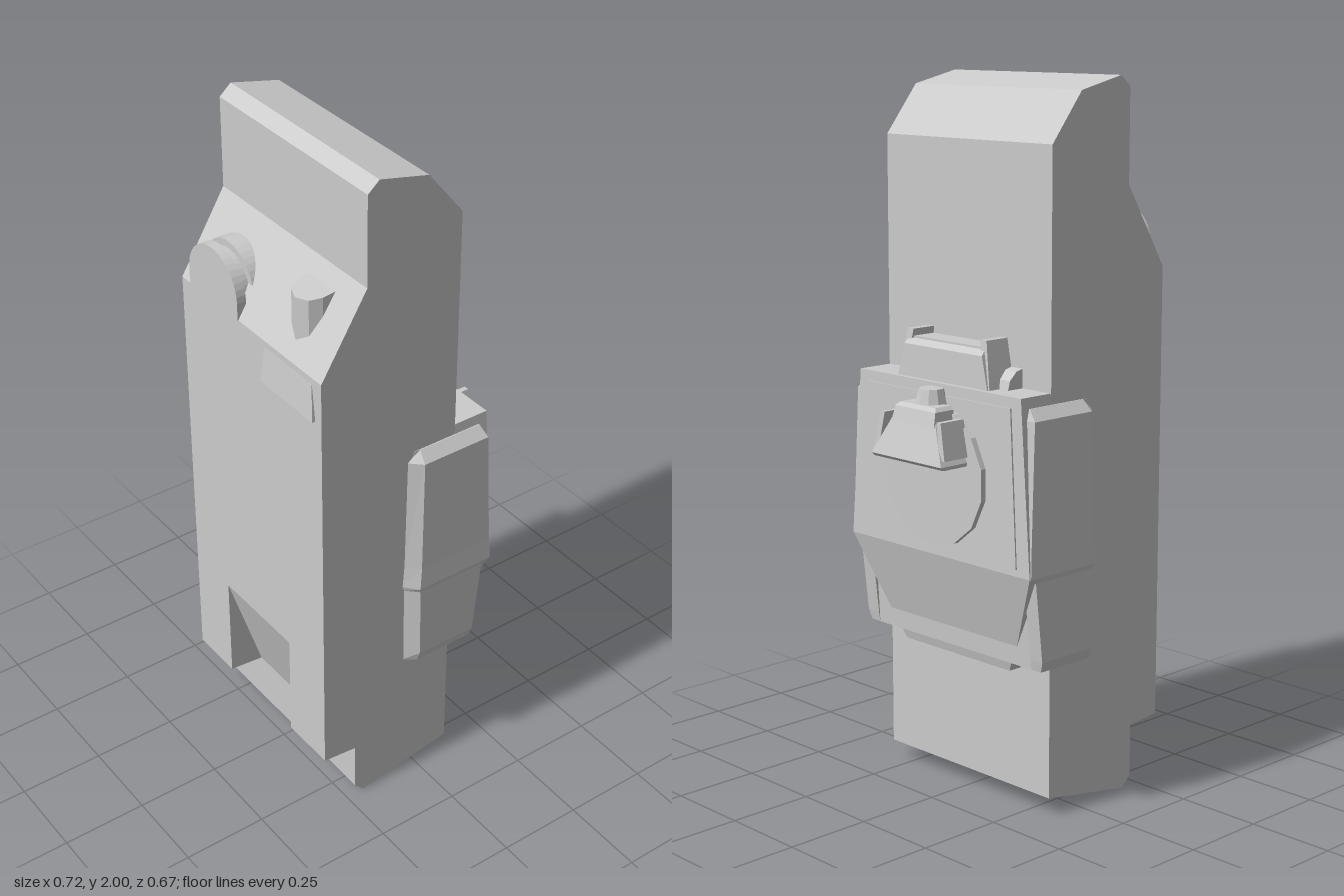
import * as THREE from 'three';

const material = new THREE.MeshStandardMaterial({ color: 0xcccccc, flatShading: true });

// Closed solid through convex rings of [x, y, z] points, oriented outward.
function loft(rings) {
  const tris = [];
  const n = rings[0].length;
  const last = rings[rings.length - 1];
  for (let r = 0; r < rings.length - 1; r++) {
    const a = rings[r], b = rings[r + 1];
    for (let i = 0; i < n; i++) {
      const j = (i + 1) % n;
      tris.push([a[i], a[j], b[j]], [a[i], b[j], b[i]]);
    }
  }
  for (let i = 1; i < n - 1; i++) {
    tris.push([rings[0][0], rings[0][i + 1], rings[0][i]], [last[0], last[i], last[i + 1]]);
  }
  // a negative signed volume means the faces point inward
  const v = (p) => new THREE.Vector3(...p);
  const volume = tris.reduce((s, [a, b, c]) => s + v(a).dot(v(b).cross(v(c))), 0);
  if (volume < 0) tris.forEach((t) => t.reverse());
  const geo = new THREE.BufferGeometry();
  geo.setAttribute('position', new THREE.Float32BufferAttribute(tris.flat(2), 3));
  geo.computeVertexNormals();
  return geo;
}

// Rectangle ring at height y
const rect = (y, hw, z0, z1, cx = 0) =>
  [[cx + hw, y, z0], [cx + hw, y, z1], [cx - hw, y, z1], [cx - hw, y, z0]];

// Side profile of [z, y] points extruded from x0 to x1
function slab(profile, x0, x1) {
  const shape = new THREE.Shape(profile.map((p) => new THREE.Vector2(...p)));
  const geo = new THREE.ExtrudeGeometry(shape, { depth: x1 - x0, bevelEnabled: false });
  return geo.rotateY(-Math.PI / 2).translate(x1, 0, 0);
}

export function createModel() {
  const model = new THREE.Group();
  model.name = 'handheldRadio';
  const add = (name, geo, parent = model) => {
    const mesh = new THREE.Mesh(geo, material);
    mesh.name = name;
    parent.add(mesh);
    return mesh;
  };
  const group = (name) => {
    const g = new THREE.Group();
    g.name = name;
    model.add(g);
    return g;
  };

  // Main case: two full side strips and a middle strip with the sloped recess
  const body = group('body');
  const upper = [[0.326, 1.48], [0.185, 1.71], [0.185, 1.97], [0.15, 2], [0, 1.965],
    [-0.108, 1.83], [-0.108, 0.05], [0.19, 0], [0.22, 0.03], [0.22, 0.18]];
  const full = [...upper, [0.326, 0.19]];
  const recessed = [...upper, [0.326, 0.515]];
  add('bodyRight', slab(full, -0.322, -0.158), body);
  add('bodyMiddle', slab(recessed, -0.158, 0.153), body);
  add('bodyLeft', slab(full, 0.153, 0.322), body);

  // Round dial half sunk in the sloped shoulder, with a groove around it
  const dial = group('dial');
  const arch = (r, z0, z1) => {
    const s = new THREE.Shape();
    s.moveTo(-r, -0.05);
    s.lineTo(r, -0.05);
    s.absarc(0, 0, r, 0, Math.PI);
    return new THREE.ExtrudeGeometry(s, { depth: z1 - z0, bevelEnabled: false, curveSegments: 10 })
      .translate(-0.165, 1.53, z0);
  };
  add('dialFace', arch(0.115, 0.3, 0.328), dial);
  add('dialCore', arch(0.095, 0.27, 0.305), dial);
  add('dialRear', arch(0.115, 0.19, 0.275), dial);

  // Small D-shaped button standing out of the shoulder
  const d = [[-0.055, 0.21], [0.055, 0.21], [0.053, 0.25], [0.038, 0.283], [0, 0.298],
    [-0.038, 0.283], [-0.053, 0.25]];
  add('button', loft([
    d.map(([x, z]) => [0.172 + x, 1.48, z]),
    d.map(([x, z]) => [0.172 + x, 1.665 - (z - 0.21) * 0.15, z]),
  ]));

  // Wedge-shaped tab on the front
  add('frontTab', loft([rect(1.355, 0.118, 0.32, 0.336, 0.177), rect(1.46, 0.105, 0.32, 0.327, 0.177)]));

  // Pack on the back
  const pack = group('backPack');
  add('packBlock', loft([rect(0.43, 0.33, -0.1, -0.165), rect(0.7, 0.33, -0.1, -0.18),
    rect(1.17, 0.315, -0.1, -0.19)]), pack);
  add('packFlap', loft([rect(0.48, 0.255, -0.1, -0.167), rect(0.7, 0.358, -0.1, -0.222),
    rect(1.18, 0.32, -0.1, -0.218)]), pack);
  add('flapPanel', loft([rect(0.72, 0.31, -0.21, -0.226), rect(1.15, 0.285, -0.21, -0.223)]), pack);
  add('packFoot', loft([rect(0.4, 0.21, -0.1, -0.15), rect(0.44, 0.23, -0.1, -0.16)]), pack);

  // Bevelled grips wrapping both sides
  for (const s of [1, -1]) {
    const ring = (y, out, front, back) => [
      [0.31, y, front], [0.32, y, front], [out, y, front - 0.035], [out, y, back], [0.31, y, back],
    ].map(([x, yy, z]) => [s * x, yy, z]);
    add(s > 0 ? 'leftGrip' : 'rightGrip', loft([
      ring(0.43, 0.345, 0.053, -0.165), ring(0.46, 0.355, 0.053, -0.17),
      ring(0.685, 0.355, 0.055, -0.195), ring(0.7, 0.36, 0.06, -0.218),
      ring(0.77, 0.358, 0.055, -0.215), ring(1.12, 0.354, 0.05, -0.2), ring(1.15, 0.325, 0.045, -0.19),
    ]), pack);
  }

  // Latch on top of the pack, with side cheeks and rounded hinge knobs
  const latch = group('topLatch');
  add('latchBlock', loft([rect(1.17, 0.16, -0.1, -0.18), rect(1.29, 0.14, -0.1, -0.18)]), latch);
  add('latchLip', loft([rect(1.17, 0.18, -0.17, -0.203), rect(1.27, 0.155, -0.17, -0.2),
    rect(1.285, 0.15, -0.17, -0.185)]), latch);
  const knob = [[-0.1, 1.17], [-0.1, 1.235], [-0.13, 1.228], [-0.155, 1.205], [-0.165, 1.17]];
  for (const s of [1, -1]) {
    add('latchCheek', loft([rect(1.17, 0.016, -0.1, -0.2, s * 0.168),
      rect(1.31, 0.012, -0.1, -0.185, s * 0.145)]), latch);
    add('hingeKnob', slab(knob, s * 0.19 - 0.025, s * 0.19 + 0.025), latch);
  }

  // Round plate with a flared clip on the back
  const clip = group('backClip');
  add('clipPlate', new THREE.CylinderGeometry(0.198, 0.198, 0.03, 14)
    .rotateX(Math.PI / 2).translate(0, 0.93, -0.226), clip);
  add('clipFlare', loft([rect(0.975, 0.138, -0.235, -0.325), rect(0.985, 0.14, -0.235, -0.336),
    rect(1.09, 0.085, -0.235, -0.305)]), clip);
  add('clipCap', loft([rect(1.08, 0.085, -0.235, -0.31), rect(1.12, 0.08, -0.235, -0.3),
    rect(1.13, 0.07, -0.235, -0.29)]), clip);
  add('clipPivot', new THREE.CylinderGeometry(0.035, 0.05, 0.06, 10).translate(0, 1.14, -0.24), clip);
  for (const s of [1, -1]) {
    add('clipWing', loft([rect(1.0, 0.01, -0.235, -0.325, s * 0.132),
      rect(1.1, 0.008, -0.235, -0.318, s * 0.112)]), clip);
  }

  return model;
}
